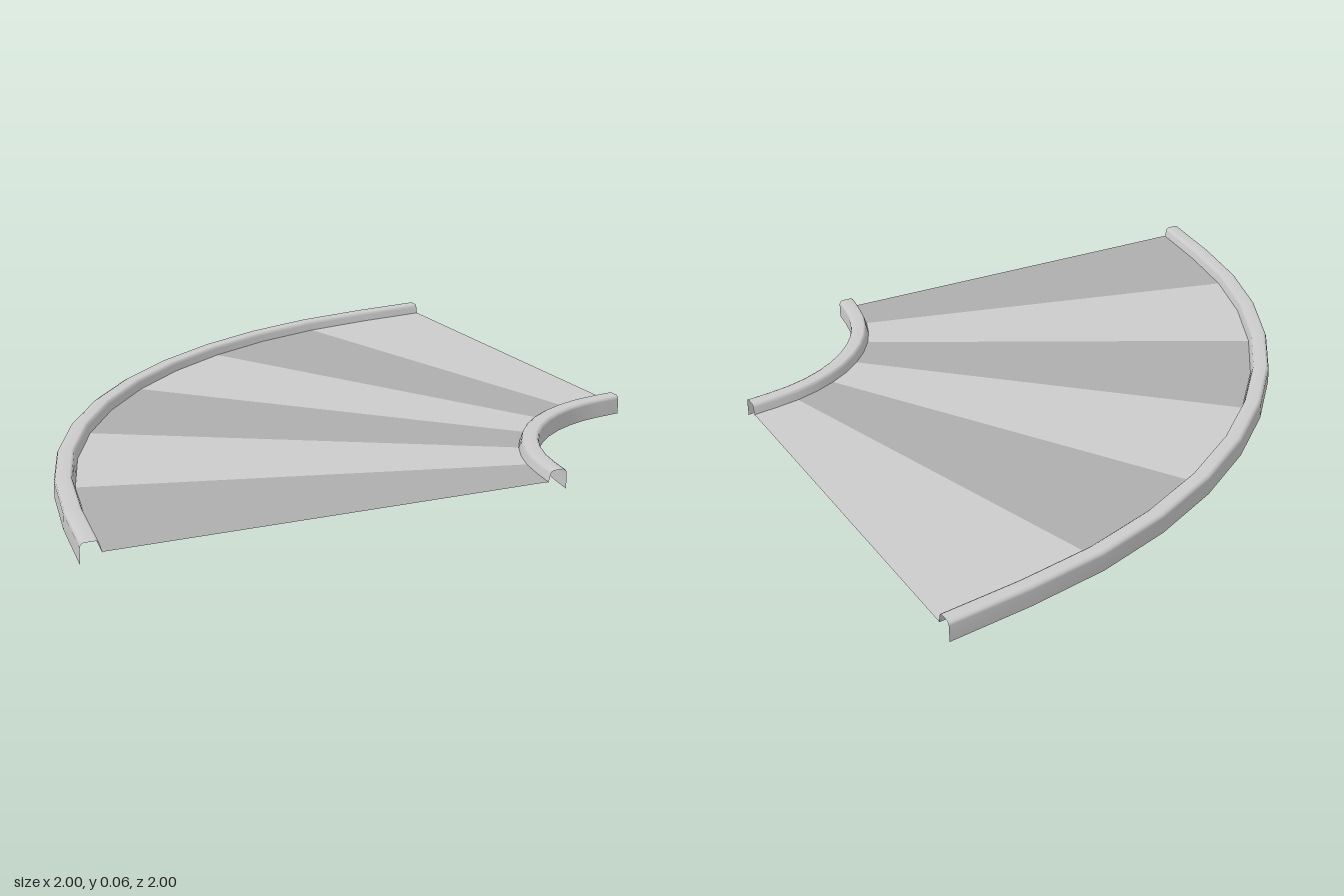
import * as THREE from 'three';

const SEGMENTS = 12;          // 7.5 degree steps round the quarter turn
const BELT_Y = 0.028;

// Point on the bend: the turn centre is the corner (1, 1); the open ends flare slightly
function bendPoint(r, y, step) {
  const a = (step / SEGMENTS) * Math.PI / 2;
  const k = step === 0 || step === SEGMENTS ? 1 : 0.991;
  return [1 - r * k * Math.cos(a), y, 1 - r * k * Math.sin(a)];
}

// Sweeps a [radius, height] profile from one step to another
function sweep(profile, from, to) {
  const pos = [], idx = [], n = profile.length;
  for (let s = from; s <= to; s++) {
    for (const [r, y] of profile) pos.push(...bendPoint(r, y, s));
  }
  for (let s = 0; s < to - from; s++) {
    for (let i = 0; i < n - 1; i++) {
      const a = s * n + i, b = a + n;
      idx.push(a, b, a + 1, a + 1, b, b + 1);
    }
  }
  const g = new THREE.BufferGeometry();
  g.setAttribute('position', new THREE.Float32BufferAttribute(pos, 3));
  g.setIndex(idx);
  g.computeVertexNormals();
  return g;
}

export function createModel() {
  const group = new THREE.Group();
  const light = new THREE.MeshStandardMaterial({ color: 0xcccccc, side: THREE.DoubleSide });
  const dark = new THREE.MeshStandardMaterial({ color: 0xaeaeae, side: THREE.DoubleSide });

  const add = (name, geometry, material) => {
    const mesh = new THREE.Mesh(geometry, material);
    mesh.name = name;
    group.add(mesh);
  };

  // Hooked rail section: tall side wall, rounded top, short lip down to the belt
  const hook = [
    [0, 0], [0, 0.048], [0.003, 0.056], [0.011, 0.06],
    [0.044, 0.06], [0.051, 0.056], [0.054, 0.048], [0.06, BELT_Y - 0.003],
  ];
  add('outerRail', sweep(hook.map(([d, y]) => [2 - d, y]), 0, SEGMENTS), light);
  add('innerRail', sweep(hook.map(([d, y]) => [0.555 + d, y]).reverse(), 0, SEGMENTS), light);

  // Belt: six wedge panels in alternating shades
  const belt = [[1.94, BELT_Y], [0.615, BELT_Y]];
  for (let i = 0; i < 6; i++) {
    add(`beltPanel${i + 1}`, sweep(belt, i * 2, i * 2 + 2), i % 2 ? light : dark);
  }
  return group;
}
